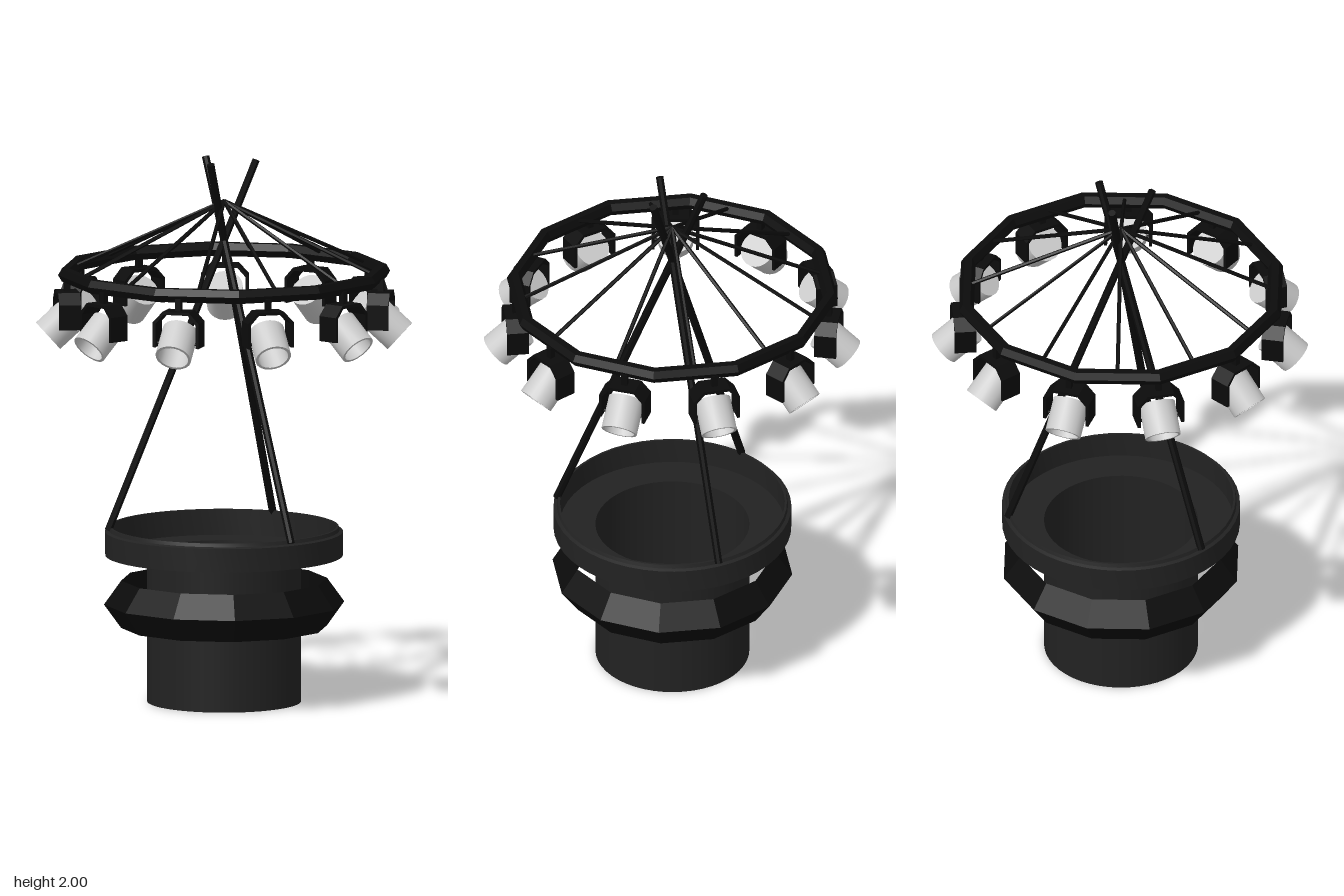
import * as THREE from 'three';
import { toCreasedNormals } from 'three/addons/utils/BufferGeometryUtils.js';

const CX = 0.009; // axis of the whole rig
const mat = (color, flatShading = false) =>
  new THREE.MeshStandardMaterial({ color, flatShading, side: THREE.DoubleSide });
const charcoal = mat(0x222222);
const black = mat(0x0b0b0b, true);
const grey = mat(0xcccccc);

function add(parent, name, geometry, material) {
  const mesh = new THREE.Mesh(geometry, material);
  mesh.name = name;
  parent.add(mesh);
  return mesh;
}

function lathe(points, sides) {
  const g = new THREE.LatheGeometry(points.map(p => new THREE.Vector2(...p)), sides);
  return toCreasedNormals(g, 0.6);
}

// Straight rod between two points
function rod(parent, name, a, b, radius, sides = 8) {
  const dir = b.clone().sub(a);
  const mesh = add(parent, name, new THREE.CylinderGeometry(radius, radius, dir.length(), sides), black);
  mesh.position.copy(a).addScaledVector(dir, 0.5);
  mesh.quaternion.setFromUnitVectors(new THREE.Vector3(0, 1, 0), dir.normalize());
  return mesh;
}

const polar = (angle, r, y) => new THREE.Vector3(r * Math.cos(angle), y, r * Math.sin(angle));

// Twelve-sided faceted hoop lying flat
function hoop(parent, name, radius, tube, sides, y, stretch) {
  const g = new THREE.TorusGeometry(radius, tube, sides, 12);
  g.rotateX(Math.PI / 2);
  g.scale(1, stretch, 1);
  add(parent, name, g, black).position.y = y;
}

// Spotlight hung from the hoop, facing local +z
function makeSpotlight() {
  const light = new THREE.Group();
  light.name = 'spotlight';

  // U-shaped yoke with cut top corners
  const w = 0.087, c = 0.05, t = 0.011;
  const yoke = new THREE.Shape([
    [-w, -0.012], [-w, 0.08], [-c, 0.12], [c, 0.12], [w, 0.08], [w, -0.012],
    [w - t, -0.012], [w - t, 0.075], [c - 0.004, 0.12 - t], [0.004 - c, 0.12 - t],
    [t - w, 0.075], [t - w, -0.012],
  ].map(p => new THREE.Vector2(...p)));
  const yokeGeometry = new THREE.ExtrudeGeometry(yoke, { depth: 0.08, bevelEnabled: false });
  yokeGeometry.translate(0, 0, -0.05);
  add(light, 'yoke', yokeGeometry, black);

  // Stem up to the hoop
  add(light, 'stem', new THREE.BoxGeometry(0.022, 0.05, 0.022), black).position.set(0, 0.14, -0.01);

  // Pivot through the lamp
  const pivot = add(light, 'pivot', new THREE.CylinderGeometry(0.006, 0.006, 0.17, 6), black);
  pivot.rotation.z = Math.PI / 2;

  // Hollow can with an open front
  const can = add(light, 'lampCan', lathe([
    [0, -0.06], [0.066, -0.06], [0.066, 0.065], [0.056, 0.065], [0.056, -0.045], [0, -0.045],
  ], 20), grey);
  can.rotation.x = Math.PI / 2 + THREE.MathUtils.degToRad(42);
  can.position.z = 0.012;
  return light;
}

export function createModel() {
  const model = new THREE.Group();
  model.name = 'lightingRig';
  const rig = new THREE.Group();
  rig.name = 'rig';
  rig.position.x = CX;
  model.add(rig);

  // Open drum base
  add(rig, 'drum', new THREE.CylinderGeometry(0.281, 0.281, 0.545, 48, 1, true), charcoal).position.y = 0.2725;

  // Tray around the top of the drum
  add(rig, 'tray', lathe([
    [0.281, 0.55], [0.281, 0.54], [0.434, 0.54], [0.434, 0.627], [0.422, 0.632],
    [0.418, 0.645], [0.41, 0.645], [0.41, 0.55], [0.281, 0.55],
  ], 48), charcoal);

  // Wide collar standing clear of the drum
  hoop(rig, 'collar', 0.398, 0.042, 3, 0.362, 2.4);

  // Tripod legs crossing near the top
  for (let i = 0; i < 3; i++) {
    const a = -Math.PI / 2 + (i * 2 * Math.PI) / 3;
    rod(rig, 'leg', polar(a, 0.424, 0.635), polar(a, -0.117, 1.995), 0.0145);
  }

  // Upper hoop and the spokes that carry it
  hoop(rig, 'lightHoop', 0.58, 0.028, 6, 1.58, 1);
  for (let i = 0; i < 12; i++) {
    const a = ((i + 0.5) * Math.PI) / 6;
    rod(rig, 'spoke', polar(a, 0.55, 1.59), new THREE.Vector3(0, 1.845, 0), 0.0075, 6);
  }

  // Eleven spotlights
  for (let i = 0; i < 11; i++) {
    const a = Math.PI + (i * 2 * Math.PI) / 11;
    const light = makeSpotlight();
    light.position.copy(polar(a, 0.588, 1.405));
    light.rotation.y = Math.PI / 2 - a;
    rig.add(light);
  }
  return model;
}
